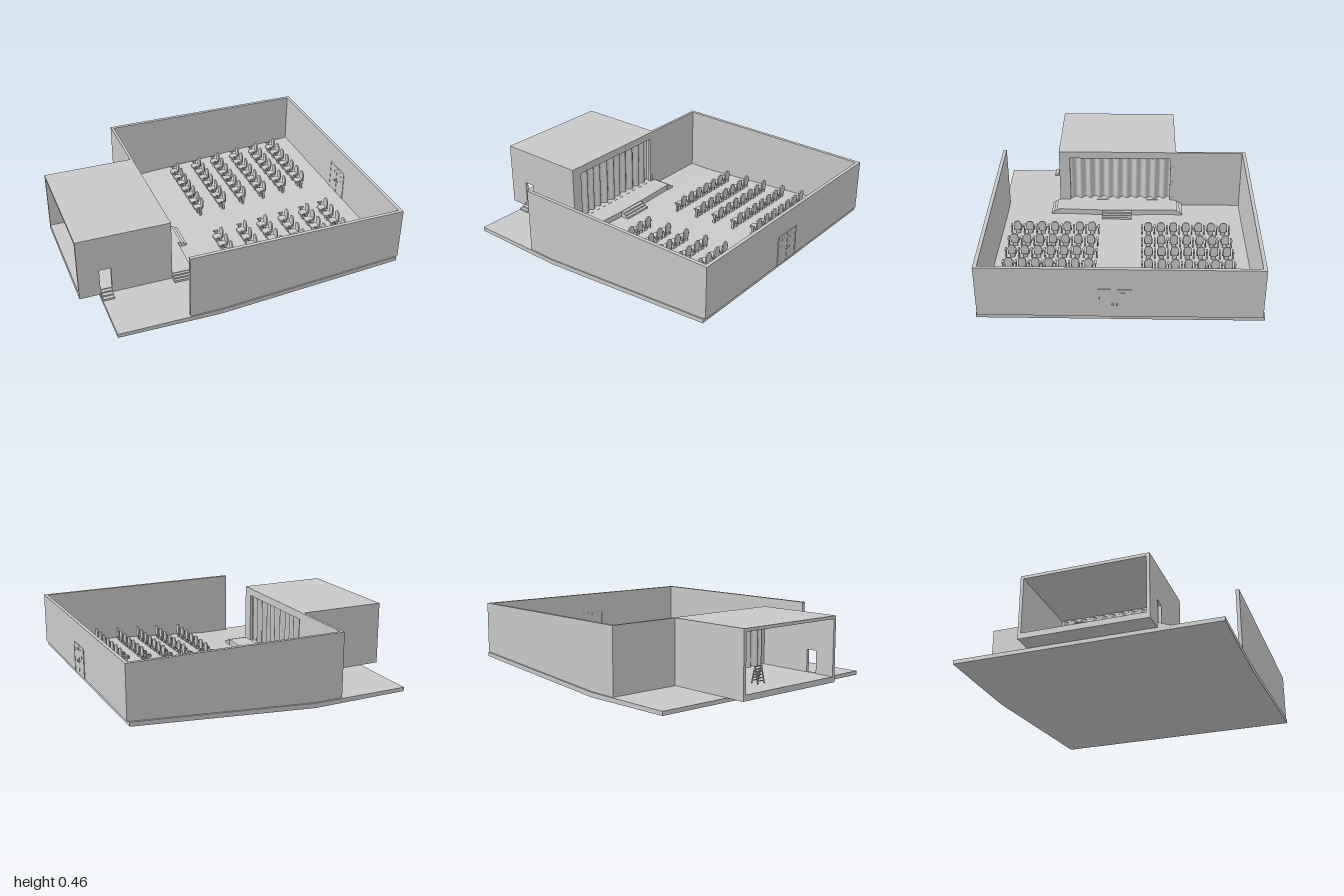
import * as THREE from 'three';

const grey = new THREE.MeshStandardMaterial({ color: 0xc8c8c8 });
grey.name = 'plain grey';
const greySheet = new THREE.MeshStandardMaterial({ color: 0xc8c8c8, side: THREE.DoubleSide });
greySheet.name = 'plain grey cloth';

function add(parent, name, geo, x = 0, y = 0, z = 0, mat = grey) {
  const m = new THREE.Mesh(geo, mat);
  m.name = name;
  m.position.set(x, y, z);
  parent.add(m);
  return m;
}

// box given by its limits on each axis
function block(parent, name, x0, x1, y0, y1, z0, z1) {
  return add(parent, name, new THREE.BoxGeometry(x1 - x0, y1 - y0, z1 - z0),
    (x0 + x1) / 2, (y0 + y1) / 2, (z0 + z1) / 2);
}

const polygon = (pts) => new THREE.Shape(pts.map((p) => new THREE.Vector2(p[0], p[1])));
const rect = (x0, x1, y0, y1) => polygon([[x0, y0], [x1, y0], [x1, y1], [x0, y1]]);

function prism(shape, depth) {
  return new THREE.ExtrudeGeometry(shape, { depth, bevelEnabled: false, curveSegments: 8 });
}

// height of the raked auditorium floor
const floorY = (x) => (x < -0.22 ? 0.031 : 0.031 + (x + 0.22) * 0.0703);

const TOP = 0.455, STAGE = 0.07;

function makeChairParts() {
  // seat with cut corners, seen from above
  const seat = prism(polygon([[-0.026, -0.018], [-0.016, -0.028], [0.022, -0.028], [0.028, -0.02],
    [0.028, 0.02], [0.022, 0.028], [-0.016, 0.028], [-0.026, 0.018]]), 0.014);
  seat.rotateX(-Math.PI / 2);
  seat.translate(0, 0.034, 0);
  // round-topped backrest
  const b = new THREE.Shape();
  b.moveTo(-0.018, 0.04);
  b.lineTo(0.018, 0.04);
  b.lineTo(0.025, 0.06);
  b.lineTo(0.025, 0.085);
  b.absarc(0, 0.085, 0.025, 0, Math.PI, false);
  b.lineTo(-0.025, 0.06);
  b.closePath();
  const back = prism(b, 0.009);
  back.rotateY(Math.PI / 2);
  back.translate(0.027, 0, 0);
  const pedestal = new THREE.BoxGeometry(0.02, 0.036, 0.03);
  pedestal.translate(0.004, 0.016, 0);
  return { seat, back, pedestal };
}

export function createModel() {
  const model = new THREE.Group();
  model.name = 'auditorium';

  // bent floor slab
  add(model, 'floorSlab', prism(polygon([[-0.87, 0.008], [-0.22, 0], [0.975, 0.088],
    [0.975, floorY(0.975)], [-0.22, 0.031], [-0.87, 0.034]]), 1.705), 0, 0, -0.855);

  // auditorium walls
  const walls = new THREE.Group();
  walls.name = 'walls';
  model.add(walls);
  const side = prism(polygon([[-0.415, 0.03], [-0.22, 0.03], [0.97, floorY(0.97)], [0.97, TOP], [-0.415, TOP]]), 0.023);
  add(walls, 'sideWallFar', side, 0, 0, -0.843);
  add(walls, 'sideWallNear', side, 0, 0, 0.819);
  block(walls, 'rearWall', 0.965, 0.987, 0.117, TOP, -0.843, 0.842);
  block(walls, 'cornerWall', -0.415, -0.397, 0.03, TOP, -0.84, -0.345);

  // double door in the rear wall, with trim on both faces
  const door = new THREE.Group();
  door.name = 'doubleDoor';
  model.add(door);
  for (const x of [0.962, 0.986]) {
    block(door, 'doorHead', x, x + 0.005, 0.307, 0.315, -0.07, 0.126);
    block(door, 'doorJambLeft', x, x + 0.005, 0.118, 0.31, -0.07, -0.062);
    block(door, 'doorJambRight', x, x + 0.005, 0.118, 0.31, 0.118, 0.126);
    for (const s of [-1, 1]) {
      const z = 0.028 + s * 0.045;
      block(door, 'doorLeaf', x + 0.001, x + 0.004, 0.118, 0.307, z - 0.043, z + 0.043);
      block(door, 'doorWindow', x, x + 0.005, 0.235, 0.29, z - 0.014, z + 0.014);
      const knob = new THREE.CylinderGeometry(0.007, 0.007, 0.012, 10);
      knob.rotateZ(Math.PI / 2);
      add(door, 'doorKnob', knob, x < 0.97 ? 0.959 : 0.994, 0.21, 0.028 + s * 0.013);
    }
  }

  // stage house, open at its back
  const stage = new THREE.Group();
  stage.name = 'stageHouse';
  model.add(stage);
  block(stage, 'stageFloor', -1, -0.4, 0.033, STAGE, -0.36, 0.455);
  block(stage, 'stageRoof', -1, -0.4, 0.435, TOP, -0.36, 0.455);
  block(stage, 'stageWallFar', -1, -0.4, STAGE, 0.435, -0.36, -0.34);
  const nearWall = rect(-1, -0.4, STAGE, 0.435);
  nearWall.holes.push(rect(-0.865, -0.79, STAGE + 0.001, 0.217));
  add(stage, 'stageWallNear', prism(nearWall, 0.02), 0, 0, 0.435);
  const arch = rect(-0.455, 0.36, STAGE, TOP);
  arch.holes.push(rect(-0.38, 0.325, STAGE + 0.001, 0.405));
  const archGeo = prism(arch, 0.018);
  archGeo.rotateY(Math.PI / 2);
  add(stage, 'prosceniumArch', archGeo, -0.417, 0, 0);

  // pleated curtain
  const cloth = new THREE.PlaneGeometry(0.72, 0.345, 96, 1);
  const p = cloth.attributes.position;
  for (let i = 0; i < p.count; i++) {
    const u = p.getX(i) / 0.72 + 0.5;
    p.setZ(i, 0.014 * Math.sin(u * Math.PI * 22) + 0.005 * Math.sin(u * 17));
  }
  cloth.rotateY(Math.PI / 2);
  cloth.computeVertexNormals();
  add(stage, 'curtain', cloth, -0.435, STAGE + 0.1725, 0.028, greySheet);

  // stage apron with a slightly bowed front edge
  const apron = prism(polygon([[-0.4, -0.455], [-0.268, -0.455], [-0.258, -0.2], [-0.258, 0.1],
    [-0.268, 0.36], [-0.4, 0.36]]), STAGE - 0.025);
  apron.rotateX(-Math.PI / 2);
  add(stage, 'apron', apron, 0, 0.025, 0);

  // flights of steps: three treads each
  const steps = new THREE.Group();
  steps.name = 'steps';
  model.add(steps);
  for (let i = 0; i < 3; i++) {
    const h = STAGE - 0.01 * (i + 0.4);
    block(steps, 'farStep', -0.4, -0.262, 0.025, h, -0.377 - i * 0.017, -0.355);
    block(steps, 'nearStep', -0.4, -0.262, 0.025, h, 0.45, 0.472 + i * 0.017);
    block(steps, 'centreStep', -0.27, -0.235 + i * 0.02, 0.025, h, -0.055, 0.15);
    block(steps, 'sideDoorStep', -0.865, -0.795, 0.03, h, 0.45, 0.478 + i * 0.024);
  }

  // folding ladder on the stage
  const ladder = new THREE.Group();
  ladder.name = 'ladder';
  ladder.position.set(-0.82, STAGE, -0.05);
  model.add(ladder);
  for (const s of [-1, 1]) {
    for (const z of [-0.028, 0.028]) {
      const leg = add(ladder, 'ladderLeg', new THREE.BoxGeometry(0.006, 0.108, 0.006), s * 0.013, 0.053, z);
      leg.rotation.z = s * 0.24;
    }
    for (let i = 1; i < 6; i++) {
      add(ladder, 'ladderRung', new THREE.BoxGeometry(0.008, 0.005, 0.056), s * 0.026 * (1 - i / 6), i * 0.0175, 0);
    }
  }
  add(ladder, 'ladderTop', new THREE.BoxGeometry(0.014, 0.005, 0.062), 0, 0.105, 0);

  // two banks of chairs facing the stage
  const seating = new THREE.Group();
  seating.name = 'seating';
  model.add(seating);
  const parts = makeChairParts();
  const arm = new THREE.BoxGeometry(0.036, 0.007, 0.012);
  const post = new THREE.BoxGeometry(0.016, 0.06, 0.008);
  for (const x of [0, 0.168, 0.316, 0.47, 0.623, 0.763]) {
    for (const z0 of [-0.677, 0.207]) {
      for (let i = 0; i < 8; i++) {
        const z = z0 + i * 0.0842, y = floorY(x);
        add(seating, 'armrest', arm, x + 0.006, y + 0.06, z - 0.0421);
        add(seating, 'armrestPost', post, x + 0.008, y + 0.028, z - 0.0421);
        if (i === 7) continue;
        const chair = new THREE.Group();
        chair.name = 'chair';
        chair.position.set(x, y, z);
        for (const n in parts) add(chair, n, parts[n]);
        seating.add(chair);
      }
    }
  }
  return model;
}
